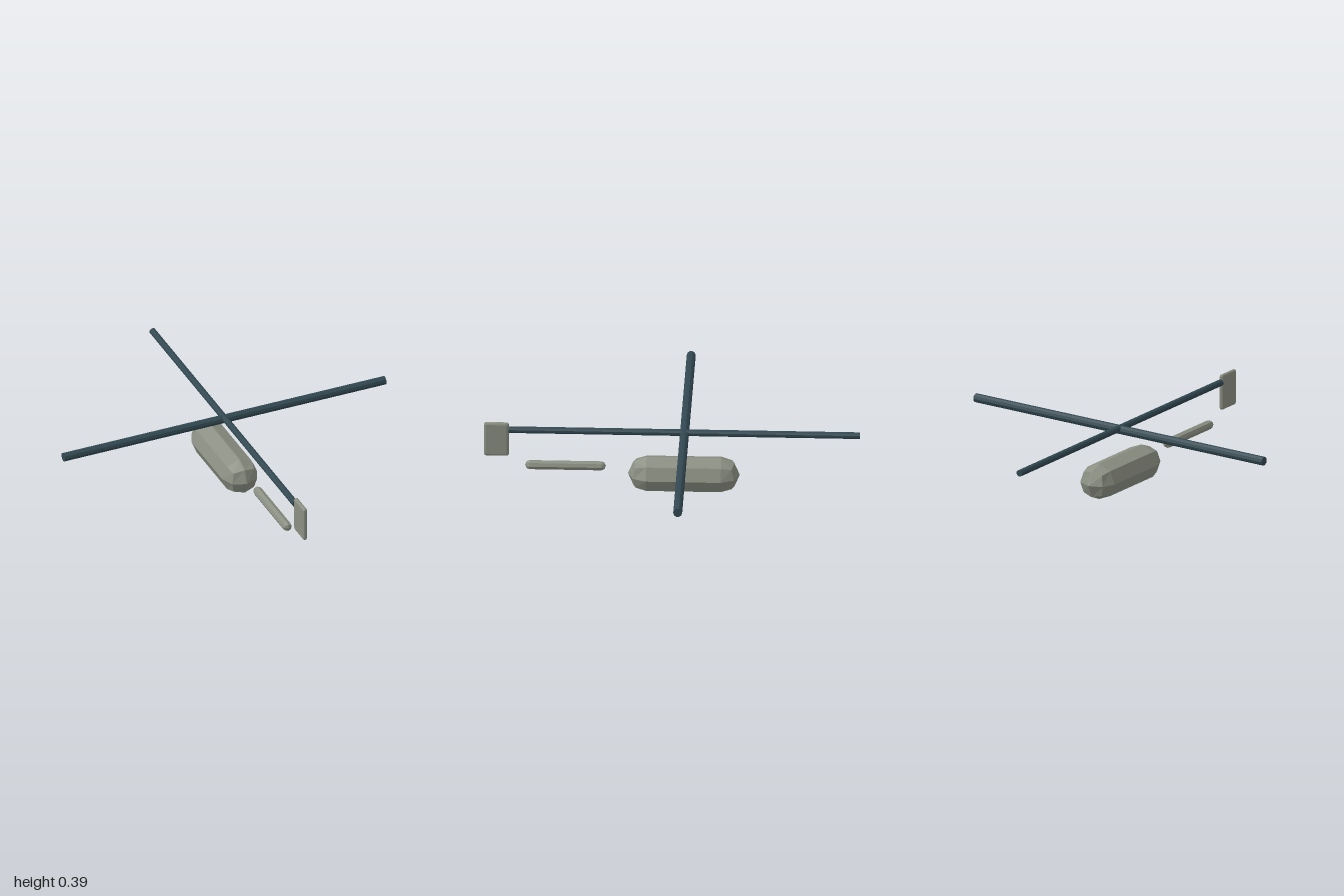
import * as THREE from 'three';
import { RoundedBoxGeometry } from 'three/addons/geometries/RoundedBoxGeometry.js';

export function createModel() {
  const model = new THREE.Group();
  model.name = 'rotorcraft';

  const hull = new THREE.MeshStandardMaterial({ color: 0x8b8f82, flatShading: true });
  hull.name = 'grey green hull';
  const blade = new THREE.MeshStandardMaterial({ color: 0x314750, flatShading: true });
  blade.name = 'dark slate blade';

  const add = (name, geometry, material, x, y, z) => {
    const mesh = new THREE.Mesh(geometry, material);
    mesh.name = name;
    mesh.position.set(x, y, z);
    model.add(mesh);
    return mesh;
  };

  // Coarsely rounded block: one bevel step on every edge
  const block = (name, w, h, d, r, y, z) =>
    add(name, new RoundedBoxGeometry(w, h, d, 1, r), hull, 0, y, z);

  block('cabin', 0.202, 0.196, 0.594, 0.098, 0.089, -0.063);
  block('tailBoom', 0.051, 0.051, 0.43, 0.0255, 0.128, 0.567);
  block('tailFin', 0.024, 0.197, 0.134, 0.012, 0.278, 0.934);

  // Crossed rotor bars
  const crossBar = add('crossRotorBar', new THREE.CylinderGeometry(0.024, 0.024, 1.87, 10), blade, 0, 0.326, -0.066);
  crossBar.rotation.z = Math.PI / 2;
  const longBar = add('longRotorBar', new THREE.CylinderGeometry(0.018, 0.018, 1.868, 10), blade, 0, 0.334, -0.066);
  longBar.rotation.x = Math.PI / 2;

  return model;
}
